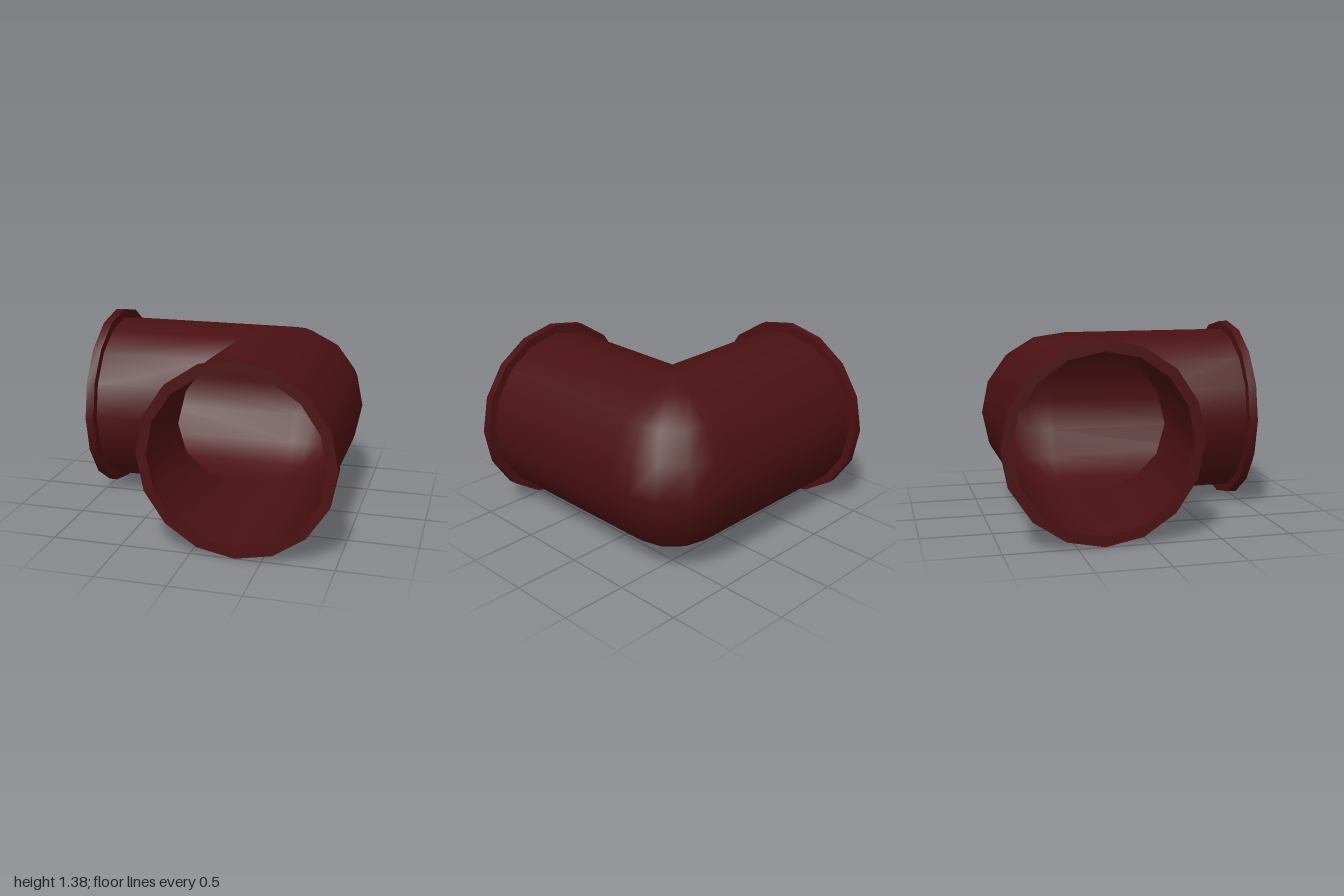
import * as THREE from 'three';
import { toCreasedNormals } from 'three/addons/utils/BufferGeometryUtils.js';

const SIDES = 16, AXIS = 0.3125, HEIGHT = 0.6875;
const OUTER = 0.625, INNER = 0.614, RIM = 0.6875, RIM_DEPTH = 0.0625;
// plan curve of the outside corner, as fractions of the local half width
const CORNER = [[0, 1], [0.08, 1], [0.32, 0.992], [0.64, 0.907],
  [0.907, 0.64], [0.992, 0.32], [1, 0.08], [1, 0]];

// Pipe wall swept from the -x end to the +z end: mitred inside, rounded outside
function elbowGeometry(radius, inward) {
  const end = 1 - RIM_DEPTH, rings = CORNER.length + 2;
  const point = (i, j) => {
    const t = (j % SIDES) / SIDES * Math.PI * 2;
    const d = radius * Math.cos(t), y = HEIGHT + radius * Math.sin(t);
    if (i === 0) return new THREE.Vector3(-end, y, -AXIS - d);
    if (i === rings - 1) return new THREE.Vector3(AXIS + d, y, end);
    const [a, b] = d > 0 ? CORNER[i - 1] : [1, 1];
    return new THREE.Vector3(AXIS + d * a, y, -AXIS - d * b);
  };
  const positions = [];
  const addTriangle = (a, b, c) => {
    if (new THREE.Triangle(a, b, c).getArea() < 1e-7) return;
    for (const p of inward ? [a, c, b] : [a, b, c]) positions.push(p.x, p.y, p.z);
  };
  for (let i = 0; i < rings - 1; i++) {
    for (let j = 0; j < SIDES; j++) {
      const a = point(i, j), b = point(i + 1, j);
      const c = point(i + 1, j + 1), d = point(i, j + 1);
      addTriangle(a, d, b);
      addTriangle(b, d, c);
    }
  }
  const geometry = new THREE.BufferGeometry();
  geometry.setAttribute('position', new THREE.Float32BufferAttribute(positions, 3));
  return toCreasedNormals(geometry, 0.75);
}

// Collar ring around an opening, its mouth facing +y
function collarGeometry() {
  const profile = [[OUTER, 0], [RIM, 0], [RIM, RIM_DEPTH], [INNER, RIM_DEPTH], [INNER, 0]]
    .map(([x, y]) => new THREE.Vector2(x, y));
  return toCreasedNormals(new THREE.LatheGeometry(profile, SIDES), 0.75);
}

export function createModel() {
  const model = new THREE.Group();
  model.name = 'pipeElbow';
  const material = new THREE.MeshStandardMaterial({ color: 0x4a1012 });
  const add = (name, geometry) => {
    const mesh = new THREE.Mesh(geometry, material);
    mesh.name = name;
    model.add(mesh);
    return mesh;
  };

  add('outerWall', elbowGeometry(OUTER, false));
  add('innerWall', elbowGeometry(INNER, true));

  const front = add('frontCollar', collarGeometry());
  front.rotation.x = Math.PI / 2;
  front.position.set(AXIS, HEIGHT, 1 - RIM_DEPTH);

  const side = add('sideCollar', collarGeometry());
  side.rotation.z = Math.PI / 2;
  side.position.set(-1 + RIM_DEPTH, HEIGHT, -AXIS);

  return model;
}
